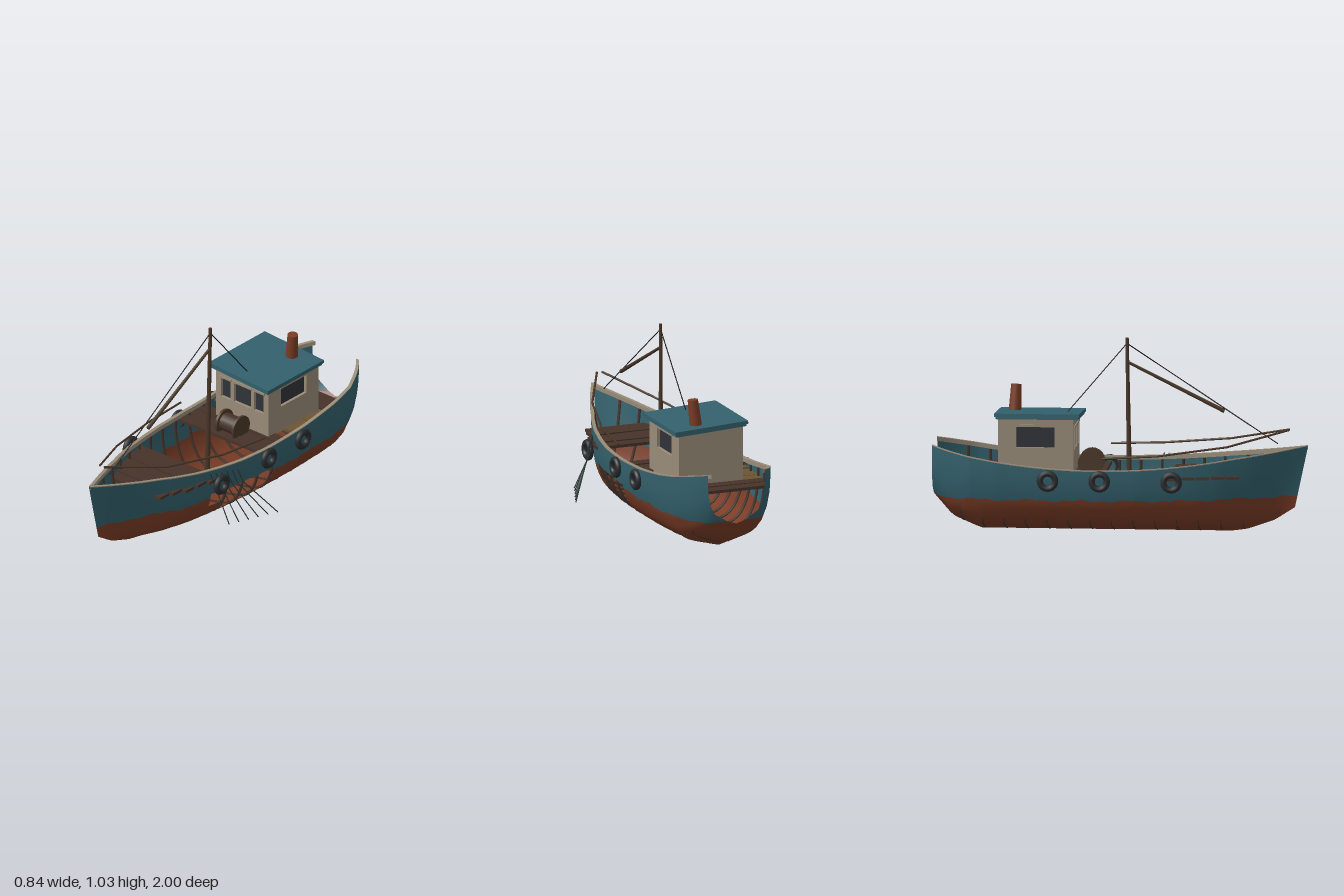
import * as THREE from 'three';
import { toCreasedNormals } from 'three/addons/utils/BufferGeometryUtils.js';

const CX = -0.08; // hull centreline
const V = (x, y, z) => new THREE.Vector3(x, y, z);
const mat = (name, color, side = THREE.FrontSide) => {
  const m = new THREE.MeshStandardMaterial({ color, side });
  m.name = name;
  return m;
};

// piecewise-linear lookup through [position, value] pairs
const lookup = (pts) => (t) => {
  let i = 0;
  while (i < pts.length - 2 && t > pts[i + 1][0]) i++;
  const [[a, u], [b, v]] = [pts[i], pts[i + 1]];
  return u + (v - u) * THREE.MathUtils.clamp((t - a) / (b - a), 0, 1);
};

// hull lines by station along z
const halfWidth = lookup([[-1, 0.165], [-0.95, 0.205], [-0.9, 0.235], [-0.8, 0.28], [-0.65, 0.3], [-0.4, 0.31], [-0.1, 0.31],
  [0.1, 0.298], [0.25, 0.275], [0.4, 0.243], [0.55, 0.195], [0.7, 0.13], [0.82, 0.068], [0.93, 0.006]]);
const keel = lookup([[-1, 0.18], [-0.9, 0.065], [-0.75, 0], [0.6, 0], [0.68, 0.012], [0.82, 0.06], [0.93, 0.13]]);
const sheer = (s) => 0.35 + 0.11 * ((s + 0.1) / (s > -0.1 ? 1.03 : 0.9)) ** 2;
const fullness = lookup([[0, 0], [0.125, 0.62], [0.25, 0.8], [0.44, 0.92], [0.64, 0.98], [0.83, 1], [1, 1]]);
const waterline = (s) => Math.max(keel(s) + 0.012, 0.19 + 0.005 * Math.sin(s * 23) + 0.004 * Math.sin(s * 61));

// point on the hull skin at station s and height y
function skin(s, y, side, inset = 0) {
  const h = (y - keel(s)) / (sheer(s) - keel(s));
  const vee = THREE.MathUtils.smoothstep(s, 0.45, 0.95);
  const f = THREE.MathUtils.lerp(fullness(h), Math.max(h, 0) ** 0.7, vee);
  const rake = 0.07 * h * THREE.MathUtils.clamp((s - 0.6) / 0.33, 0, 1);
  return V(CX + side * Math.max(0, halfWidth(s) * f - inset), y, s + rake);
}

// grid of points to a surface; slot(i, j) gives a material index, or -1 for a gap
function loft(rows, slot) {
  const n = rows[0].length, faces = [[], []];
  for (let i = 0; i < rows.length - 1; i++) for (let j = 0; j < n - 1; j++) {
    const k = slot(i, j), a = i * n + j;
    if (k >= 0) faces[k].push(a, a + 1, a + n, a + 1, a + n + 1, a + n);
  }
  const g = new THREE.BufferGeometry().setFromPoints(rows.flat());
  g.setIndex(faces.flat());
  g.addGroup(0, faces[0].length, 0);
  g.addGroup(faces[0].length, faces[1].length, 1);
  return toCreasedNormals(g, 0.6);
}

export function createModel() {
  const D = THREE.DoubleSide;
  const teal = mat('teal paint', 0x33606c, D), rust = mat('rust red paint', 0x7a3c26, D);
  const cream = mat('weathered cream', 0x998c78, D), plank = mat('dark plank', 0x46332a);
  const tan = mat('worn plank', 0x6b5434), pole = mat('pole wood', 0x4b3828);
  const rubber = mat('rubber', 0x2a2c2f), glass = mat('dark glass', 0x303338);
  const line = mat('rigging', 0x1e1e1e), net = mat('net cord', 0x26352f);

  const boat = new THREE.Group();
  boat.name = 'fishingBoat';
  const add = (name, geo, material, x = 0, y = 0, z = 0, parent = boat) => {
    const m = new THREE.Mesh(geo, material);
    m.name = name;
    m.position.set(x, y, z);
    parent.add(m);
    return m;
  };
  const box = (x, y, z) => new THREE.BoxGeometry(x, y, z);
  const rod = (name, a, b, r0, r1, material, sides = 8) => {
    const d = b.clone().sub(a), c = a.clone().add(b).multiplyScalar(0.5);
    const m = add(name, new THREE.CylinderGeometry(r1, r0, d.length(), sides), material, c.x, c.y, c.z);
    m.quaternion.setFromUnitVectors(V(0, 1, 0), d.normalize());
    return m;
  };

  // hull shell, open at the stern, with a broken patch on the left side
  const low = [0, 0.12, 0.24, 0.36, 0.47, 0.6, 0.74, 0.87, 1], high = [0.18, 0.4, 0.6, 0.8, 1];
  const stations = Array.from({ length: 69 }, (_, i) => -1 + (1.93 * i) / 68);
  const rows = stations.map((s) => {
    const k = keel(s), w = waterline(s), t = sheer(s);
    const ys = [...low.map((f) => k + (w - k) * f), ...high.map((f) => w + (t - w) * f)];
    return [...ys.slice(1).reverse().map((y) => skin(s, y, -1)), ...ys.map((y) => skin(s, y, 1))];
  });
  const mid = low.length + high.length - 1;
  add('hull', loft(rows, (i, j) => {
    const level = j >= mid ? j - mid : mid - 1 - j;
    const s = stations[i];
    if (j >= mid && level >= 4 && level <= 8 && s > -0.16 && s < (level < 6 ? 0.2 : 0.28)) return -1;
    return level < low.length - 1 ? 1 : 0;
  }), [teal, rust]);

  // gunwale caps
  for (const side of [-1, 1]) {
    const cap = stations.map((s) => {
      const t = sheer(s), p = skin(s, t, side), q = skin(s, t, side, 0.02);
      return [V(p.x, t, p.z), V(p.x, t + 0.005, p.z), V(q.x, t + 0.005, q.z), V(q.x, t - 0.018, q.z)];
    });
    add('gunwale', loft(cap, () => 0), [cream, cream]);
  }

  // ribs inside the shell
  for (let s = -0.84; s < 0.85; s += 0.115) for (const side of [-1, 1]) {
    const k = keel(s) + 0.008, t = sheer(s) - 0.02;
    const pts = [0, 0.13, 0.25, 0.45, 0.65, 0.85, 1].map((f) => skin(s, k + (t - k) * f, side, 0.012));
    add('rib', new THREE.TubeGeometry(new THREE.CatmullRomCurve3(pts), 14, 0.008, 5), plank);
  }

  // deck planks, a few poking through the bow planking
  const deck = (z, material, i) => add('deckPlank', box(2 * halfWidth(z - 0.045) - (z < 0 ? 0.005 : 0), 0.016, 0.07),
    material, CX, 0.308 + 0.004 * (i % 2), z).rotation.z = 0.008 * Math.sin(i * 2.3);
  for (let i = 0; i < 10; i++) {
    const z = -0.765 + i * 0.0725;
    if (i !== 6) deck(z, z > -0.66 && z < -0.38 ? tan : plank, i);
  }
  for (let i = 0; i < 5; i++) deck(0.305 + i * 0.076, plank, i);

  // cabin walls with window openings and inset glass
  const cabin = new THREE.Group();
  cabin.name = 'cabin';
  cabin.position.set(CX, 0.31, -0.4425);
  boat.add(cabin);
  const rect = (S, x0, y0, x1, y1) => new S([[x0, y0], [x1, y0], [x1, y1], [x0, y1]].map((p) => new THREE.Vector2(...p)));
  const wall = (name, w, windows, angle, dist) => {
    const g = new THREE.Group();
    g.name = name;
    g.rotation.y = angle;
    cabin.add(g);
    const shape = rect(THREE.Shape, -w / 2, 0, w / 2, 0.3);
    for (const [x0, x1, y0, y1] of windows) {
      shape.holes.push(rect(THREE.Path, x0, y0, x1, y1));
      add('window', box(x1 - x0, y1 - y0, 0.006), glass, (x0 + x1) / 2, (y0 + y1) / 2, dist - 0.02, g);
      add('lintel', box(x1 - x0 + 0.02, 0.012, 0.008), cream, (x0 + x1) / 2, y1 + 0.007, dist + 0.002, g);
    }
    add('wallPanel', new THREE.ExtrudeGeometry(shape, { depth: 0.022, bevelEnabled: false }), cream, 0, 0, dist - 0.022, g);
  };
  wall('frontWall', 0.37, [[-0.15, -0.083, 0.135, 0.25], [-0.06, 0.06, 0.135, 0.25], [0.083, 0.15, 0.135, 0.25]], 0, 0.2025);
  wall('backWall', 0.37, [], Math.PI, 0.2025);
  wall('leftWall', 0.405, [[-0.1, 0.105, 0.15, 0.26]], Math.PI / 2, 0.185);
  wall('rightWall', 0.405, [[-0.105, 0.1, 0.15, 0.26]], -Math.PI / 2, 0.185);

  // sagging two-layer roof
  const roof = new THREE.Group();
  roof.name = 'roof';
  roof.position.set(CX, 0.617, -0.435);
  roof.rotation.z = -0.058;
  boat.add(roof);
  add('roofBoard', box(0.405, 0.014, 0.44), teal, 0, -0.009, 0, roof);
  add('roofTop', box(0.42, 0.017, 0.455), teal, 0, 0.006, 0, roof);
  rod('funnel', V(-0.023, 0.615, -0.575), V(-0.008, 0.765, -0.568), 0.034, 0.028, rust, 14);

  // winch drum in front of the cabin
  const winch = new THREE.Group();
  winch.name = 'winch';
  winch.position.set(CX, 0.362, -0.16);
  winch.rotation.z = Math.PI / 2;
  boat.add(winch);
  add('drum', new THREE.CylinderGeometry(0.05, 0.05, 0.12, 18), plank, 0, 0, 0, winch);
  for (const y of [-0.058, 0.058]) add('flange', new THREE.CylinderGeometry(0.068, 0.068, 0.014, 20), pole, 0, y, 0, winch);

  // mast, boom and stays
  rod('mast', V(CX, 0.06, 0.047), V(-0.071, 1.03, 0.03), 0.015, 0.009, pole);
  rod('boom', V(-0.075, 0.9, 0.035), V(-0.06, 0.64, 0.55), 0.008, 0.011, pole);
  rod('foreStay', V(-0.071, 1.0, 0.03), V(CX, 0.47, 0.84), 0.003, 0.003, line, 5);
  rod('backStay', V(-0.071, 1.0, 0.03), V(-0.085, 0.625, -0.29), 0.003, 0.003, line, 5);

  // bow rail following both sides
  for (const side of [-1, 1]) {
    const pts = [[0.015, 0.547, 0.9], [0.175, 0.473, 0.58], [0.268, 0.433, 0.22], [0.297, 0.42, -0.08]]
      .map(([x, y, z]) => V(CX + side * x, y, z));
    for (let i = 0; i < 3; i++) rod('bowRail', pts[i], pts[i + 1], 0.006, 0.006, pole, 6);
  }

  // tyre fenders
  for (const z of [0.295, -0.09, -0.367]) for (const x of [-0.403, 0.24])
    add('fender', new THREE.TorusGeometry(0.041, 0.017, 10, 24), rubber, x, 0.3, z).rotation.y = Math.PI / 2;

  // net cords hanging over the left side
  for (let i = 0; i < 6; i++) {
    const a = V(0.27 - 0.015 * i, 0.365, 0.2 + 0.027 * i), b = V(0.29 - 0.016 * i, 0.29, 0.18 + 0.027 * i);
    const c = V(0.415 - 0.021 * i, 0.09, 0.04 + 0.055 * i);
    rod('netCord', a, b, 0.003, 0.003, net, 5);
    rod('netCord', b, c, 0.003, 0.003, net, 5);
  }
  return boat;
}
